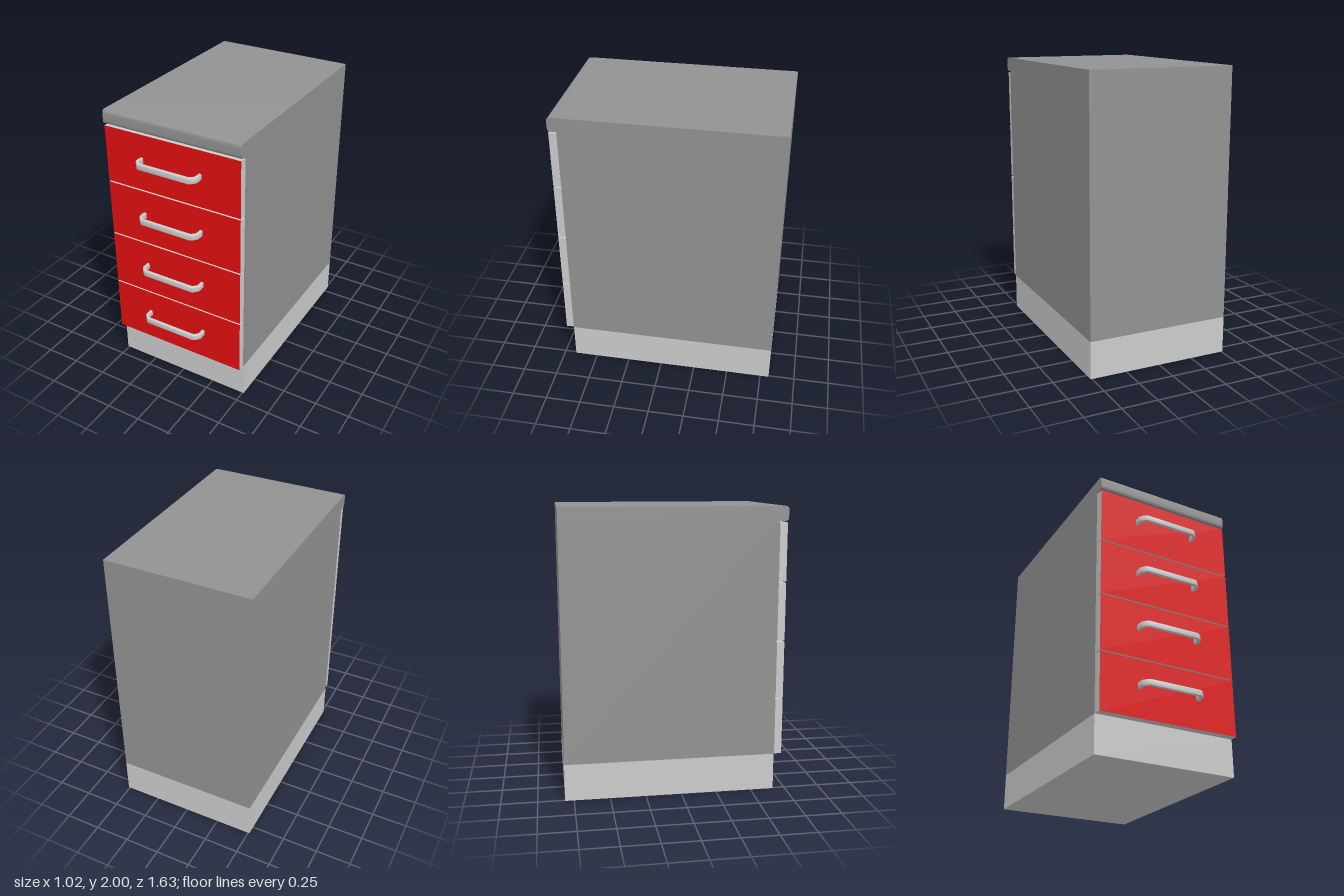
import * as THREE from 'three';
import { toCreasedNormals } from 'three/addons/utils/BufferGeometryUtils.js';

const light = new THREE.MeshStandardMaterial({ color: 0xcccccc });
const dark = new THREE.MeshStandardMaterial({ color: 0x929292 });
const red = new THREE.MeshStandardMaterial({ color: 0xe00f0f });

const WIDTH = 1.02, BACK = -0.813, FRONT = 0.665, PANEL_FRONT = 0.722;

function mesh(name, geometry, material) {
  const m = new THREE.Mesh(geometry, material);
  m.name = name;
  return m;
}

// Box given by its lower and upper limits in y and z, centred on x
function block(name, width, y0, y1, z0, z1, material) {
  const m = mesh(name, new THREE.BoxGeometry(width, y1 - y0, z1 - z0), material);
  m.position.set(0, (y0 + y1) / 2, (z0 + z1) / 2);
  return m;
}

// Worktop: side profile with a rounded, overhanging front edge
function worktop() {
  const r = 0.025, front = 0.727, bottom = 1.9;
  const s = new THREE.Shape();
  s.moveTo(BACK, bottom);
  s.lineTo(front - r, bottom);
  s.quadraticCurveTo(front, bottom, front, bottom + r);
  s.lineTo(front, 2 - r);
  s.quadraticCurveTo(front, 2, front - r, 2);
  s.lineTo(BACK, 2);
  s.closePath();
  const g = new THREE.ExtrudeGeometry(s, { depth: WIDTH, bevelEnabled: false, curveSegments: 6 });
  g.rotateY(-Math.PI / 2).translate(WIDTH / 2, 0, 0);
  return mesh('worktop', toCreasedNormals(g, 0.6), dark);
}

// Bow handle: flat bar outline seen from above, extruded in height with soft edges
function handleGeometry() {
  const height = 0.043, bevel = 0.006, z0 = PANEL_FRONT - 0.005;
  const half = [
    [0.208, z0], [0.23, z0], [0.23, 0.768], [0.222, 0.783], [0.2, 0.806], [0.185, 0.813],
  ];
  const inner = [[0.178, 0.79], [0.188, 0.786], [0.204, 0.77], [0.208, 0.762]];
  const mirror = (list) => list.map(([x, z]) => [-x, z]).reverse();
  const outline = [...half, ...mirror(half), ...mirror(inner), ...inner];
  const shape = new THREE.Shape(outline.map(([x, z]) => new THREE.Vector2(x, z)));
  const g = new THREE.ExtrudeGeometry(shape, {
    depth: height - 2 * bevel, bevelThickness: bevel, bevelSize: bevel,
    bevelOffset: -bevel, bevelSegments: 3,
  });
  g.rotateX(Math.PI / 2).translate(-0.005, height / 2 - bevel, 0);
  return toCreasedNormals(g, 0.6);
}

export function createModel() {
  const model = new THREE.Group();
  model.name = 'drawerCabinet';

  model.add(
    block('plinth', WIDTH, 0, 0.26, BACK, FRONT, light),
    block('carcass', WIDTH, 0.26, 1.9, BACK, FRONT, dark),
    worktop(),
  );

  // Four drawers: grey panel with a red front face, and a handle
  const handleGeo = handleGeometry();
  const panelMaterials = [light, light, light, light, red, light];
  for (let i = 0; i < 4; i++) {
    const y = 0.26 + i * 0.41;
    const drawer = new THREE.Group();
    drawer.name = 'drawer' + (i + 1);
    const handle = mesh('handle', handleGeo, light);
    handle.position.y = y + 0.218;
    drawer.add(block('drawerFront', 1.01, y, y + 0.4, 0.67, PANEL_FRONT, panelMaterials), handle);
    model.add(drawer);
  }
  return model;
}
